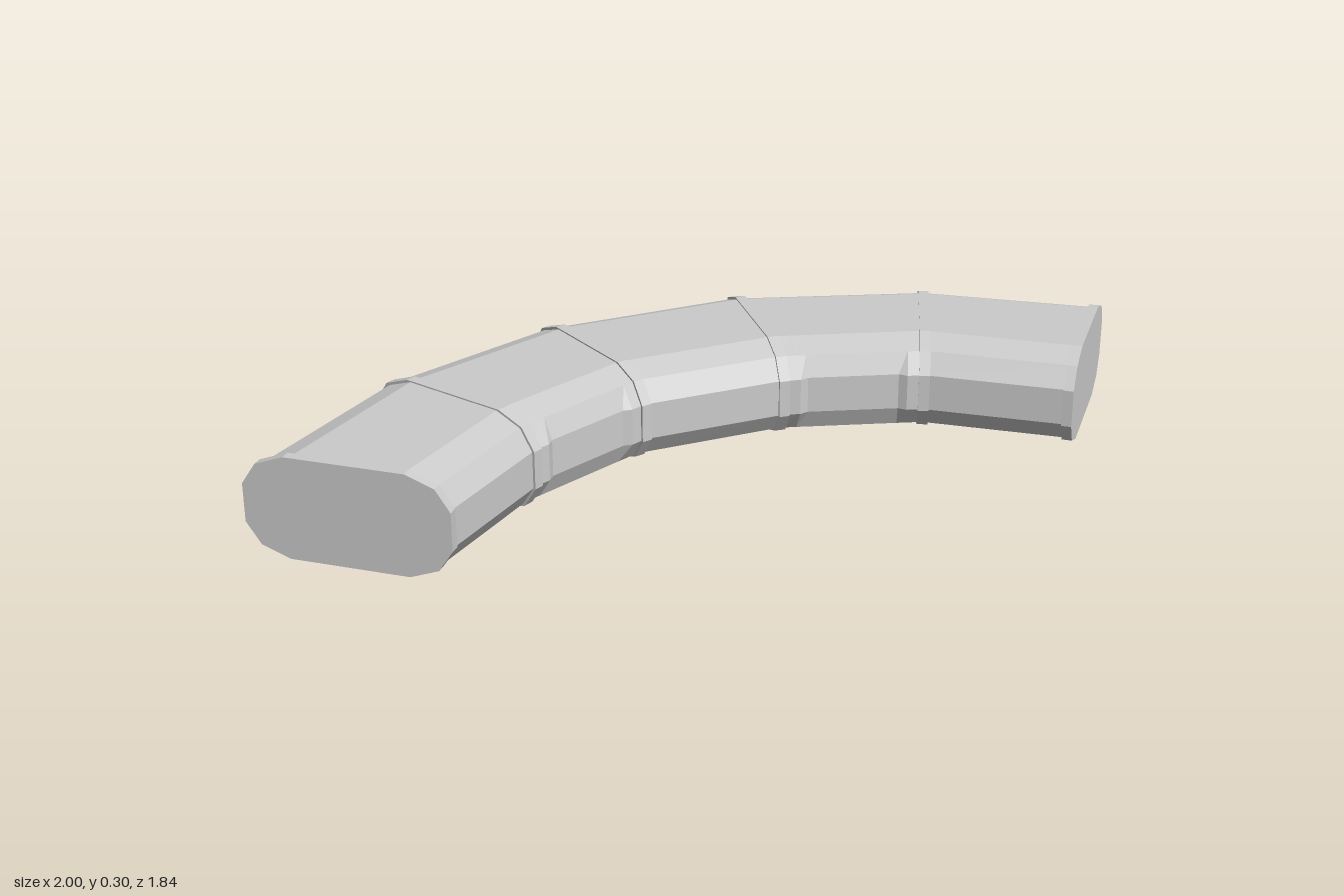
import * as THREE from 'three';

// Joints along the bend: outer [x, z], inner [x, z] (collar outline)
const joints = [
  [-1.0, 0.92, -0.405, 0.92],
  [-0.89, 0.30, -0.33, 0.50],
  [-0.61, -0.23, -0.145, 0.125],
  [-0.135, -0.65, 0.185, -0.155],
  [0.435, -0.88, 0.565, -0.315],
  [1.0, -0.92, 1.0, -0.33],
];
const MID = 0.149;

// Rounded end of the section: [distance from the tip, height off the middle]
const endProfile = [[0.125, 0.149], [0.042, 0.118], [0, 0.056], [0, -0.056], [0.042, -0.118], [0.125, -0.149]];

// Closed ring at a joint; shrink pulls it in, recess sinks the window strip, shift slides it along the tube
function ring(joint, shrink = 0, recess = 0, shift = 0) {
  const o = new THREE.Vector3(joint[0], MID, joint[1]);
  const i = new THREE.Vector3(joint[2], MID, joint[3]);
  const u = i.clone().sub(o);
  const len = u.length();
  u.normalize();
  const along = new THREE.Vector3(u.z, 0, -u.x);
  const local = endProfile.map(([s, y]) => {
    const strip = Math.abs(y) < 0.1 ? recess : 0;
    return [s + shrink + strip, y * (1 - shrink * 0.4 / MID)];
  });
  const section = [...local, ...local.map(([s, y]) => [len - s, y]).reverse()];
  return section.map(([s, y]) =>
    o.clone().addScaledVector(u, s).addScaledVector(along, shift).setY(MID + y));
}

const lerpJoint = (a, b, t) => a.map((v, k) => v + (b[k] - v) * t);

// Faceted skin over a run of rings, optionally capped
function loft(name, rings, capStart, capEnd) {
  const pos = [];
  const tri = (...p) => p.forEach((v) => pos.push(v.x, v.y, v.z));
  const n = rings[0].length;
  for (let r = 0; r < rings.length - 1; r++) {
    for (let k = 0; k < n; k++) {
      const a = rings[r][k], b = rings[r][(k + 1) % n];
      const d = rings[r + 1][k], c = rings[r + 1][(k + 1) % n];
      tri(a, d, c);
      tri(a, c, b);
    }
  }
  const last = rings[rings.length - 1];
  for (let k = 1; k < n - 1; k++) {
    if (capStart) tri(rings[0][0], rings[0][k], rings[0][k + 1]);
    if (capEnd) tri(last[0], last[k + 1], last[k]);
  }
  const geo = new THREE.BufferGeometry();
  geo.setAttribute('position', new THREE.Float32BufferAttribute(pos, 3));
  geo.computeVertexNormals();
  const mesh = new THREE.Mesh(geo, new THREE.MeshStandardMaterial({ color: 0xcccccc, flatShading: true }));
  mesh.name = name;
  return mesh;
}

export function createModel() {
  const group = new THREE.Group();
  group.name = 'curvedCorridor';

  // Straight tube segments; the second and fourth have sunken window strips
  for (let j = 0; j < joints.length - 1; j++) {
    const windowed = j === 1 || j === 3;
    const stops = windowed ? [[0, 0], [0.12, 0], [0.18, 0.014], [0.82, 0.014], [0.88, 0], [1, 0]] : [[0, 0], [1, 0]];
    const rings = stops.map(([t, recess]) => ring(lerpJoint(joints[j], joints[j + 1], t), 0.01, recess));
    group.add(loft(windowed ? 'windowSegment' : 'tubeSegment', rings, false, false));
  }

  // Collars over the joints, and closed collars at both ends
  joints.forEach((joint, j) => {
    const first = j === 0, final = j === joints.length - 1;
    const from = first ? 0 : final ? -0.03 : -0.016;
    const to = first ? 0.03 : final ? 0 : 0.016;
    group.add(loft(first || final ? 'endCollar' : 'jointCollar',
      [ring(joint, 0, 0, from), ring(joint, 0, 0, to)], true, true));
  });

  return group;
}
